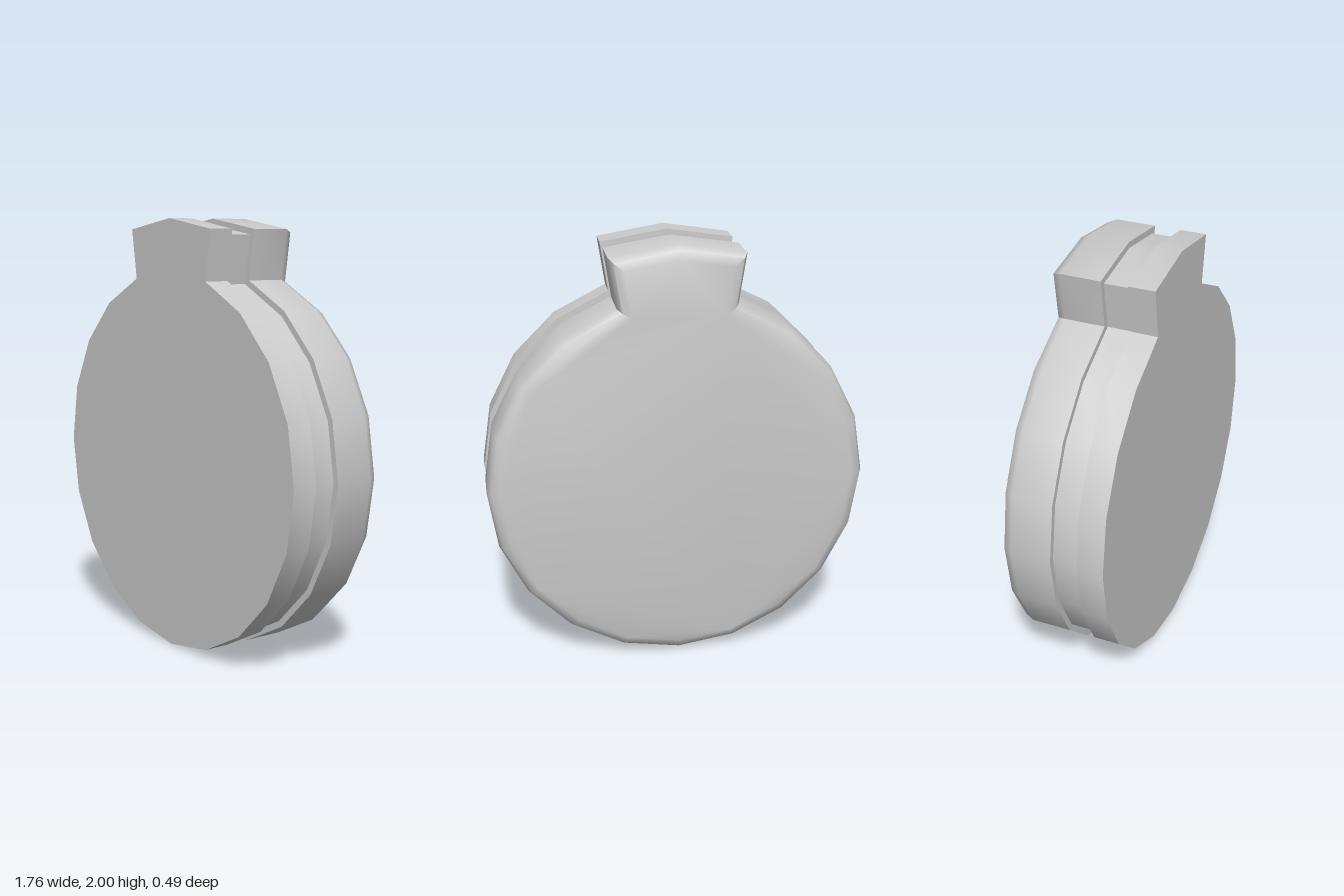
import * as THREE from 'three';
import { toCreasedNormals } from 'three/addons/utils/BufferGeometryUtils.js';

const R = 0.882, CY = 0.883;

// Twenty-sided disc whose top opens into a flared tab, anticlockwise from the neck
function makeOutline() {
  const pts = [];
  for (let k = 1; k <= 19; k++) {
    const a = Math.PI / 2 + k * Math.PI / 10;
    pts.push(new THREE.Vector2(R * Math.cos(a), CY + R * Math.sin(a)));
  }
  pts.push(new THREE.Vector2(0.308, 1.951), new THREE.Vector2(0, 2), new THREE.Vector2(-0.308, 1.951));
  return pts;
}

// Moves every edge of the outline inward by d, with mitred corners
function inset(pts, d) {
  const n = pts.length;
  return pts.map((p, i) => {
    const e1 = p.clone().sub(pts[(i + n - 1) % n]).normalize();
    const e2 = pts[(i + 1) % n].clone().sub(p).normalize();
    const n1 = new THREE.Vector2(-e1.y, e1.x), n2 = new THREE.Vector2(-e2.y, e2.x);
    return n1.clone().add(n2).multiplyScalar(d / (1 + n1.dot(n2))).add(p);
  });
}

// Lofts the outline through [z, inset] steps from front to back
function loft(outline, steps, capped) {
  const n = outline.length, pos = [], idx = [];
  const rings = steps.map(([, d]) => inset(outline, d));
  rings.forEach((ring, r) => ring.forEach(p => pos.push(p.x, p.y, steps[r][0])));
  for (let r = 0; r < rings.length - 1; r++) {
    for (let i = 0; i < n; i++) {
      const j = (i + 1) % n, a = r * n + i, b = r * n + j, c = b + n, d = a + n;
      idx.push(a, d, b, b, d, c);
    }
  }
  if (capped) {
    const last = (rings.length - 1) * n;
    for (const [a, b, c] of THREE.ShapeUtils.triangulateShape(rings[0], [])) idx.push(a, b, c);
    for (const [a, b, c] of THREE.ShapeUtils.triangulateShape(rings[rings.length - 1], [])) {
      idx.push(last + a, last + c, last + b);
    }
  }
  const g = new THREE.BufferGeometry();
  g.setAttribute('position', new THREE.Float32BufferAttribute(pos, 3));
  g.setIndex(idx);
  return toCreasedNormals(g, THREE.MathUtils.degToRad(50));
}

export function createModel() {
  const group = new THREE.Group();
  group.name = 'tabbedDisc';
  const material = new THREE.MeshStandardMaterial({ color: 0xcccccc });
  const outline = makeOutline();

  const add = (name, steps, capped) => {
    const mesh = new THREE.Mesh(loft(outline, steps, capped), material);
    mesh.name = name;
    group.add(mesh);
  };

  // Flat front plate with sharp edges
  add('frontPlate', [[0.245, 0], [0.123, 0]], true);
  // Recessed band between the plates
  add('grooveBand', [[0.123, 0.029], [0, 0.029]], false);
  // Thicker back plate with a rounded rear edge
  add('backPlate', [[0, 0], [-0.187, 0], [-0.227, 0.018], [-0.245, 0.058]], true);

  return group;
}
